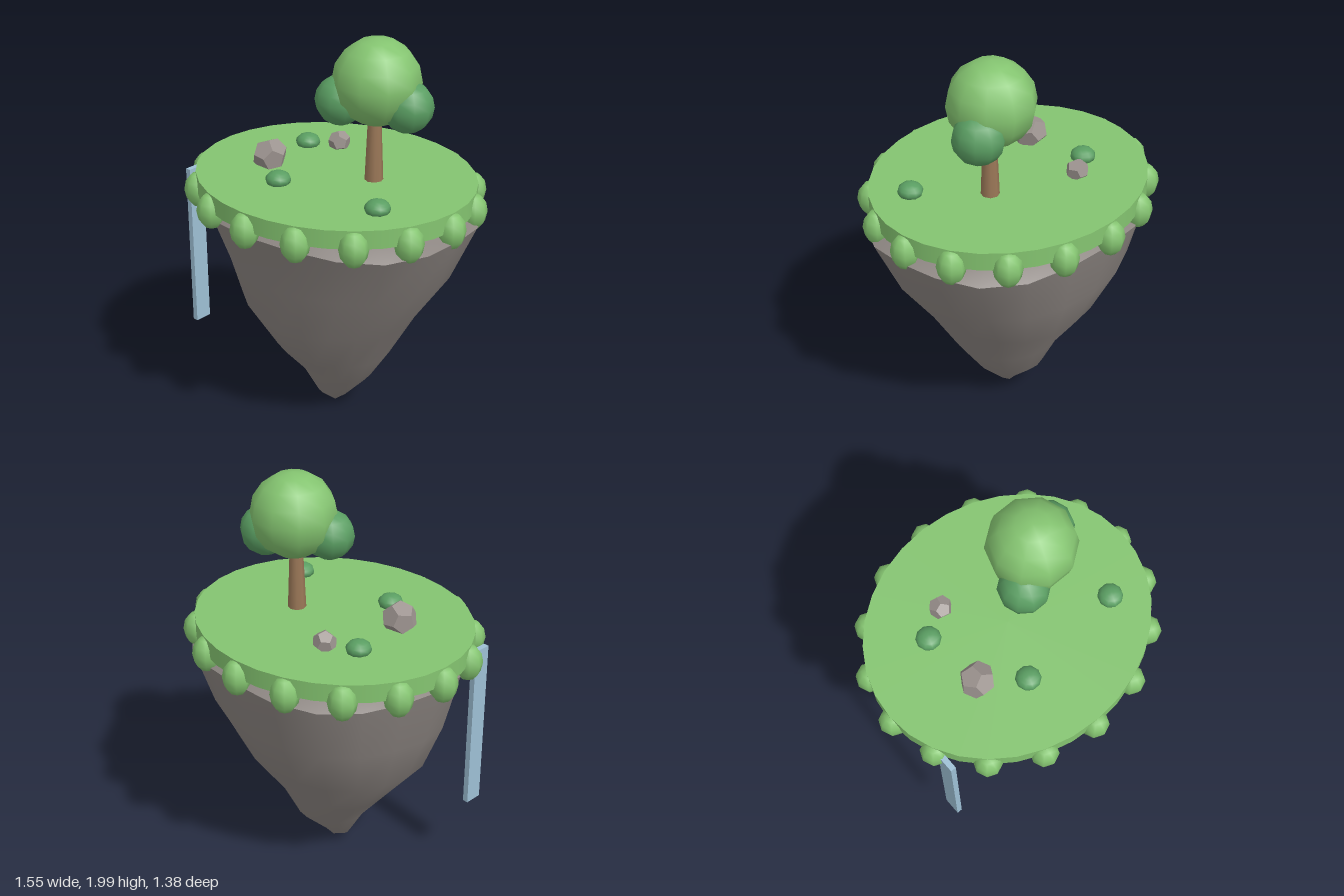
import * as THREE from 'three';
import { toCreasedNormals } from 'three/addons/utils/BufferGeometryUtils.js';

const mat = (name, color, flatShading = false) => {
  const m = new THREE.MeshStandardMaterial({ color, flatShading });
  m.name = name;
  return m;
};

// Island underside: rings of [y, +x reach, -x reach, +z reach, -z reach]
function rockGeometry() {
  const rings = [
    [0.07, 0.07, 0.10, 0.07, 0.05],
    [0.21, 0.20, 0.18, 0.14, 0.19],
    [0.37, 0.31, 0.31, 0.28, 0.26],
    [0.60, 0.44, 0.50, 0.42, 0.42],
    [0.86, 0.62, 0.61, 0.49, 0.54],
    [1.15, 0.745, 0.69, 0.60, 0.62],
    [1.21, 0.62, 0.58, 0.53, 0.53],
  ];
  const n = 20, pos = [0, 0.01, 0], index = [];
  rings.forEach(([y, px, nx, pz, nz], k) => {
    for (let i = 0; i < n; i++) {
      const a = (i / n) * Math.PI * 2, s = Math.sin(a), c = Math.cos(a);
      const wobble = 1 + 0.035 * Math.sin(2 * a) * Math.sin(3 * a + k * 0.8);
      const lift = k === 5 ? 0.015 * Math.cos(4 * a) : 0;
      pos.push(s * (s > 0 ? px : nx) * wobble, y + lift, c * (c > 0 ? pz : nz) * wobble);
    }
  });
  const top = pos.length / 3;
  pos.push(0, 1.22, 0);
  for (let i = 0; i < n; i++) {
    const j = (i + 1) % n;
    index.push(0, 1 + j, 1 + i);
    for (let k = 0; k < rings.length - 1; k++) {
      const a = 1 + k * n + i, b = 1 + k * n + j;
      index.push(a, b, b + n, a, b + n, a + n);
    }
    const last = 1 + (rings.length - 1) * n;
    index.push(last + i, last + j, top);
  }
  const g = new THREE.BufferGeometry();
  g.setAttribute('position', new THREE.Float32BufferAttribute(pos, 3));
  g.setIndex(index);
  return toCreasedNormals(g, 0.8);
}

export function createModel() {
  const group = new THREE.Group();
  group.name = 'floatingIsland';
  const grass = mat('grass green', 0x84c470);
  const leaf = mat('dark leaf green', 0x5a9e62);
  const rock = mat('rock grey', 0x8c8581);
  const stone = mat('stone grey', 0x9c938f, true);
  const bark = mat('bark brown', 0x9a7757);
  const water = mat('water blue', 0x9dbfd4);

  const add = (name, geometry, material, x, y, z, sx = 1, sy = 1, sz = 1) => {
    const mesh = new THREE.Mesh(geometry, material);
    mesh.name = name;
    mesh.position.set(x, y, z);
    mesh.scale.set(sx, sy, sz);
    group.add(mesh);
    return mesh;
  };

  // Island body and turf
  add('rockBase', rockGeometry(), rock, 0, 0, 0);
  add('turf', new THREE.CylinderGeometry(1, 1, 0.09, 32), grass, 0, 1.257, 0, 0.717, 1, 0.631);

  // Grass clumps around the rim
  const clump = new THREE.SphereGeometry(1, 8, 6);
  for (let i = 0; i < 16; i++) {
    const a = (i / 16) * Math.PI * 2;
    add('rimClump', clump, grass, 0.705 * Math.sin(a), 1.21, 0.62 * Math.cos(a), 0.07, 0.09, 0.07);
  }

  // Tree
  add('trunk', new THREE.CylinderGeometry(0.03, 0.045, 0.36, 8), bark, 0.197, 1.48, -0.055);
  const ball = new THREE.SphereGeometry(1, 10, 8);
  add('crown', ball, grass, 0.197, 1.79, -0.068, 0.212, 0.21, 0.212);
  add('leftFoliage', ball, leaf, 0.34, 1.685, -0.12, 0.125, 0.125, 0.125);
  add('rightFoliage', ball, leaf, 0.063, 1.695, 0.035, 0.122, 0.12, 0.122);

  // Low shrubs
  for (const [x, z] of [[-0.34, -0.175], [-0.115, 0.278], [0.45, 0.22]])
    add('shrub', ball, leaf, x, 1.32, z, 0.062, 0.042, 0.062);

  // Boulders
  const boulder = new THREE.DodecahedronGeometry(1, 0);
  add('largeBoulder', boulder, stone, -0.305, 1.35, 0.137, 0.088, 0.085, 0.088).rotation.set(0.3, 0.5, 0.2);
  add('smallBoulder', boulder, stone, -0.2, 1.332, -0.255, 0.058, 0.055, 0.058).rotation.set(0.1, 0.3, 0.4);

  // Waterfall
  add('waterfall', new THREE.BoxGeometry(0.028, 0.85, 0.09), water, -0.647, 0.825, 0.325);

  return group;
}
